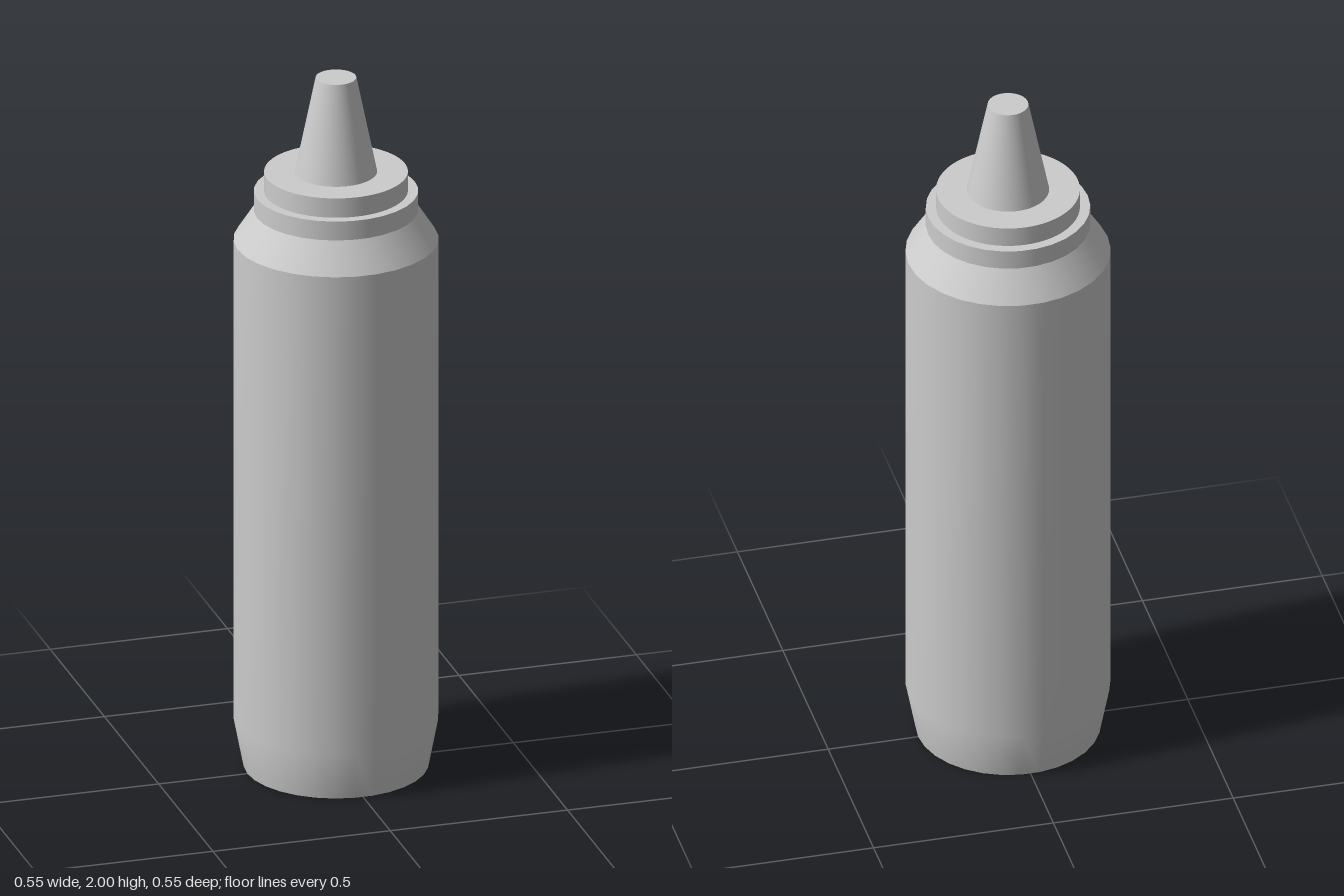
import * as THREE from 'three';

const plastic = new THREE.MeshStandardMaterial({ color: 0xcccccc });
plastic.name = 'greyPlastic';

// Each profile runs upward or outward; edges between profiles stay sharp.
function turned(name, sides, profiles) {
  const part = new THREE.Group();
  part.name = name;
  for (const [label, ...points] of profiles) {
    const profile = points.map(([r, y]) => new THREE.Vector2(r, y));
    const mesh = new THREE.Mesh(new THREE.LatheGeometry(profile, sides, Math.PI / 2), plastic);
    mesh.name = label;
    part.add(mesh);
  }
  return part;
}

export function createModel() {
  const model = new THREE.Group();
  model.name = 'squeezeBottle';

  // Bottle with tapered foot, sloping shoulder and straight neck
  model.add(turned('bottle', 30, [
    ['base', [0, 0], [0.25, 0]],
    ['wall', [0.25, 0], [0.277, 0.14], [0.277, 1.53]],
    ['shoulder', [0.277, 1.53], [0.222, 1.615]],
    ['neck', [0.222, 1.615], [0.222, 1.67]],
    ['neckTop', [0.222, 1.67], [0, 1.67]],
  ]));

  // Screw cap
  model.add(turned('cap', 64, [
    ['capSide', [0.194, 1.67], [0.194, 1.726]],
    ['capTop', [0.194, 1.726], [0, 1.726]],
  ]));

  // Conical spout, closed at the tip
  model.add(turned('nozzle', 64, [
    ['nozzleSide', [0.111, 1.726], [0.055, 2]],
    ['nozzleTip', [0.055, 2], [0, 2]],
  ]));

  return model;
}
